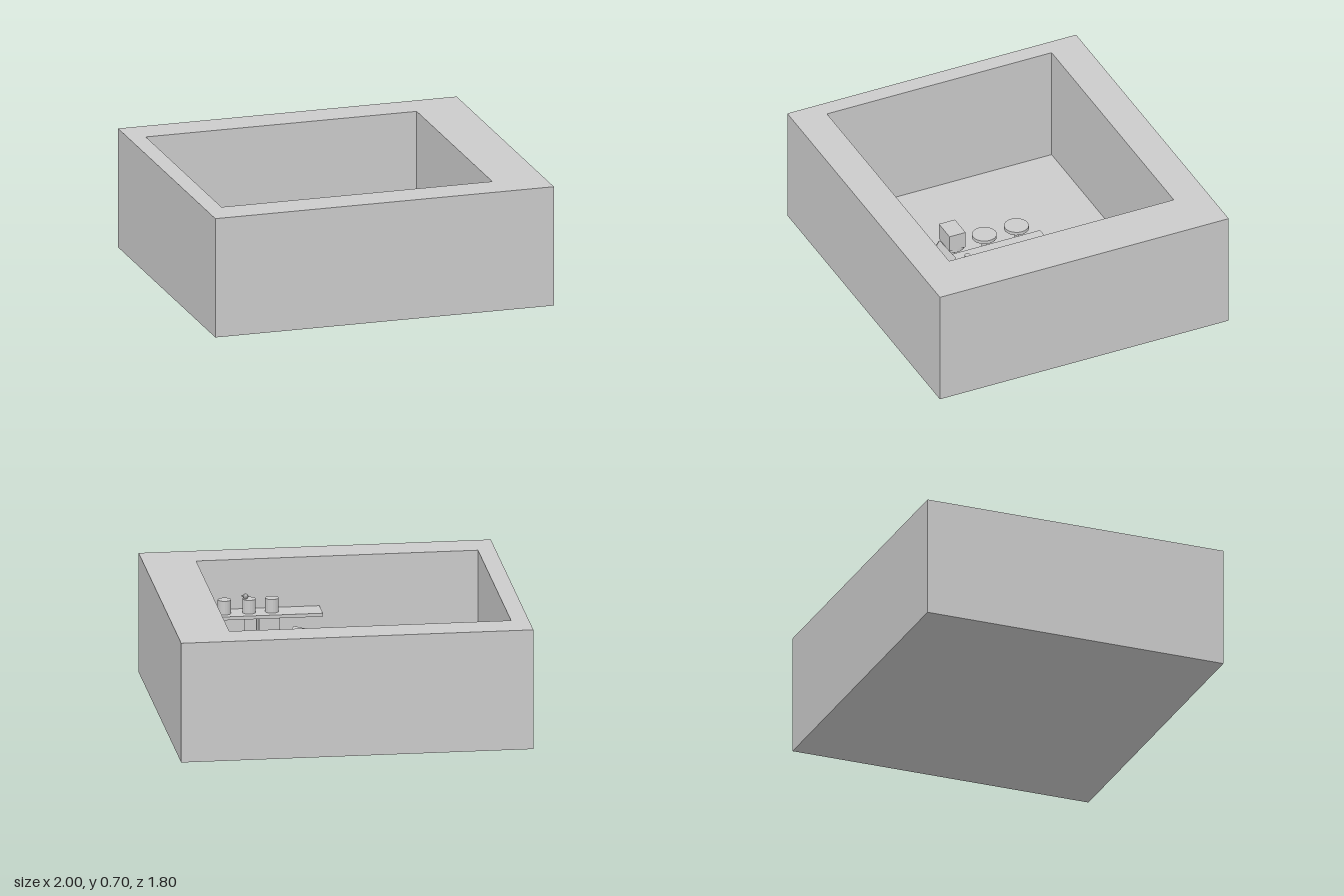
import * as THREE from 'three';

export function createModel() {
  const model = new THREE.Group();
  const mat = new THREE.MeshStandardMaterial({ color: 0xcccccc, flatShading: true, side: THREE.DoubleSide });

  const add = (name, geo, x, y, z, parent = model) => {
    const mesh = new THREE.Mesh(geo, mat);
    mesh.name = name;
    mesh.position.set(x, y, z);
    parent.add(mesh);
    return mesh;
  };
  const box = (w, h, d) => new THREE.BoxGeometry(w, h, d);
  const cyl = (r, h, n = 24) => new THREE.CylinderGeometry(r, r, h, n);

  // outline in plan (x, z) extruded upward from y = 0
  const plan = (pts, height, hole) => {
    const toV = p => new THREE.Vector2(p[0], -p[1]);
    const shape = new THREE.Shape(pts.map(toV));
    if (hole) shape.holes.push(new THREE.Path(hole.map(toV)));
    return new THREE.ExtrudeGeometry(shape, { depth: height, bevelEnabled: false }).rotateX(-Math.PI / 2);
  };

  // room: thick walls, open top, thin floor
  add('walls', plan([[-1, 0.9], [1, 0.9], [1, -0.9], [-1, -0.9]], 0.7,
    [[-0.9, 0.7], [0.7, 0.7], [0.7, -0.7], [-0.9, -0.7]]), 0, 0, 0);
  add('floor', new THREE.PlaneGeometry(2, 1.8).rotateX(-Math.PI / 2), 0, 0, 0);

  // U-shaped counter
  add('counter', plan([[0, 0.7], [0.7, 0.7], [0.7, 0.4], [0.2, 0.4],
    [0.2, -0.05], [0.7, -0.05], [0.7, -0.2], [0, -0.2]], 0.2), 0, 0, 0);

  // wall shelf with jars, machines beneath
  add('shelf', box(0.7, 0.02, 0.15), 0.35, 0.4, 0.625);
  for (const x of [0.3, 0.5]) add('machine', box(0.12, 0.19, 0.11), x, 0.295, 0.63);
  for (const x of [0.28, 0.41, 0.55]) add('jar', cyl(0.038, 0.08, 16), x, 0.45, 0.625);

  // small bird on the middle jar
  const bird = new THREE.Group();
  bird.name = 'bird';
  bird.position.set(0.43, 0.505, 0.62);
  model.add(bird);
  add('birdBody', new THREE.SphereGeometry(0.016, 8, 6), 0, 0, 0, bird);
  add('birdBeak', new THREE.ConeGeometry(0.01, 0.02, 8).rotateZ(-Math.PI / 2), 0.018, 0.004, 0, bird);

  // saucers, cup and mug on the counter
  add('saucer', cyl(0.05, 0.004), 0.1, 0.202, 0.3);
  add('cup', cyl(0.017, 0.04, 16), 0.1, 0.222, 0.3);
  add('saucer', cyl(0.045, 0.004), 0.405, 0.202, 0.45);
  const mugProfile = [[0, 0], [0.022, 0], [0.027, 0.04], [0.022, 0.04], [0.018, 0.006], [0, 0.006]];
  add('mug', new THREE.LatheGeometry(mugProfile.map(p => new THREE.Vector2(...p)), 20), 0.28, 0.2, -0.13);

  // till screen, leaning back and facing into the counter
  const till = new THREE.Group();
  till.name = 'till';
  till.position.set(0.125, 0.2, 0.475);
  till.rotation.y = Math.PI * 0.75;
  model.add(till);
  add('tillStand', cyl(0.015, 0.08, 12), 0, 0.04, 0, till);
  add('tillScreen', box(0.2, 0.14, 0.012), 0, 0.08, 0, till).rotation.x = -Math.PI / 4;

  // row of stools
  for (const z of [-0.1, 0.1, 0.3]) {
    const stool = new THREE.Group();
    stool.name = 'stool';
    stool.position.set(-0.1, 0, z);
    model.add(stool);
    add('stoolSeat', cyl(0.07, 0.02), 0, 0.19, 0, stool);
    add('stoolPost', cyl(0.015, 0.17, 12), 0, 0.095, 0, stool);
    add('stoolBase', cyl(0.05, 0.01), 0, 0.005, 0, stool);
  }

  // block with a pointed end resting on the last stool
  add('block', box(0.14, 0.1, 0.1), -0.1, 0.25, 0.3);
  add('blockPoint', new THREE.ConeGeometry(0.03, 0.08, 8).rotateZ(Math.PI / 2), -0.185, 0.23, 0.3);

  return model;
}
